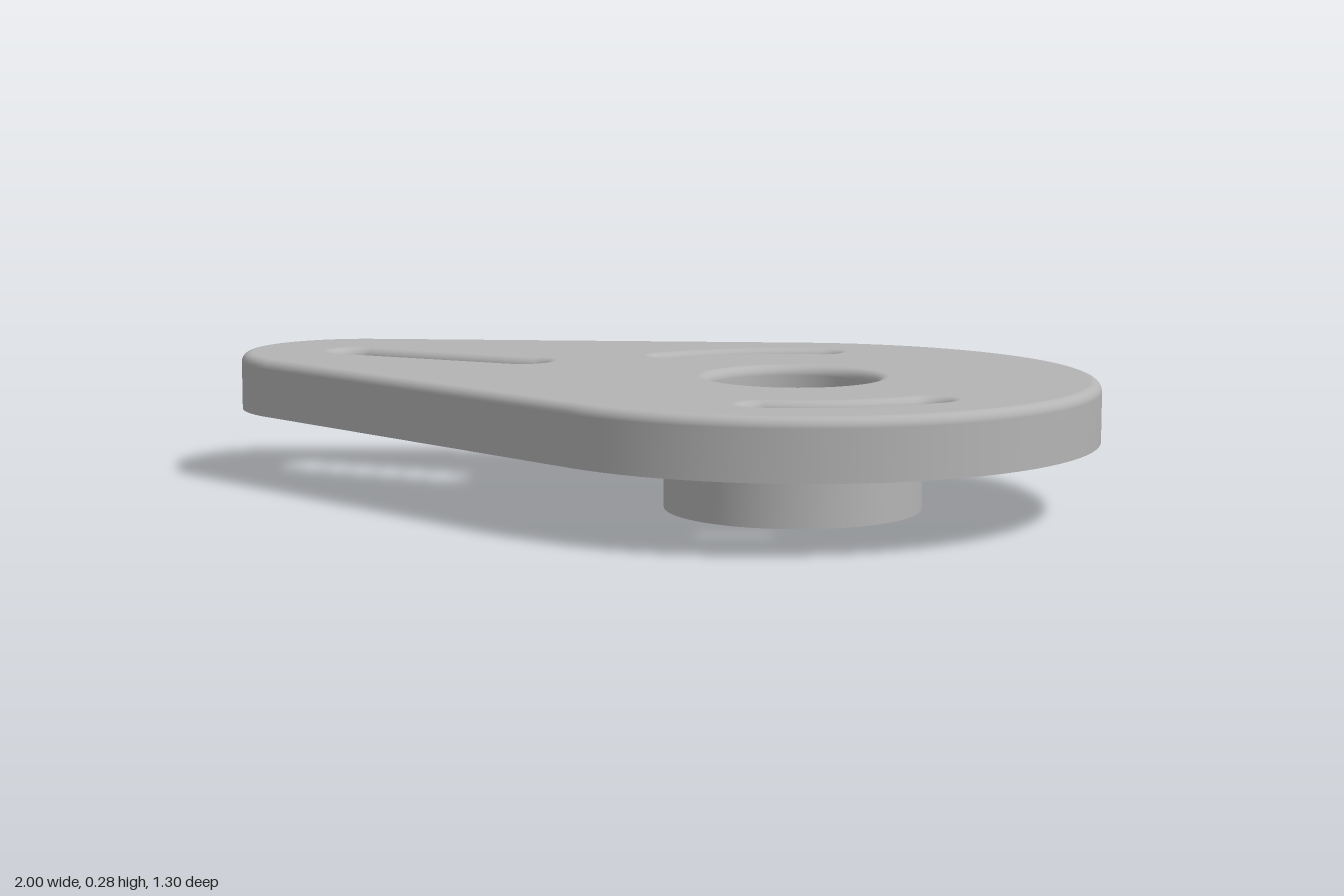
import * as THREE from 'three';

// Main sizes (plan is drawn in x/y, height along z, then the group is tipped upright)
const TOP = 0.284, BASE = 0.155, LEDGE = 0.198, FILLET = 0.022;
const HUB_X = 0.347;

// Arc points, optionally including the last one
function arc(cx, cy, r, a0, a1, n, closed = false) {
  const pts = [];
  for (let i = 0; i < n + (closed ? 1 : 0); i++) {
    const a = a0 + (a1 - a0) * i / n;
    pts.push(new THREE.Vector2(cx + r * Math.cos(a), cy + r * Math.sin(a)));
  }
  return pts;
}

const circle = (cx, r) => arc(cx, 0, r, 0, Math.PI * 2, 72);

// Two circles on the x axis joined by their tangents
function tangentHull(x1, r1, x2, r2, n) {
  const t = Math.acos((r2 - r1) / (x1 - x2));
  return [
    ...arc(x1, 0, r1, -t, t, n, true),
    ...arc(x2, 0, r2, t, Math.PI * 2 - t, n, true),
  ];
}

// Slot bent around the hub
function curvedSlot(R, r, a0, a1) {
  const end = (a) => [HUB_X + R * Math.cos(a), R * Math.sin(a)];
  return [
    ...arc(HUB_X, 0, R + r, a0, a1, 20),
    ...arc(...end(a1), r, a1, a1 + Math.PI, 14),
    ...arc(HUB_X, 0, R - r, a1, a0, 20),
    ...arc(...end(a0), r, a0 + Math.PI, a0 + Math.PI * 2, 14),
  ];
}

// Wall through closed loops of equal length, each given as [points, height]
function wall(levels, inward = false, flat = false) {
  const n = levels[0][0].length, pos = [], idx = [];
  for (const [pts, z] of levels) for (const p of pts) pos.push(p.x, p.y, z);
  for (let j = 0; j < levels.length - 1; j++) {
    for (let i = 0; i < n; i++) {
      const k = (i + 1) % n;
      const a = j * n + i, b = j * n + k, c = b + n, d = a + n;
      if (inward) idx.push(a, c, b, a, d, c);
      else idx.push(a, b, c, a, c, d);
    }
  }
  let g = new THREE.BufferGeometry();
  g.setAttribute('position', new THREE.Float32BufferAttribute(pos, 3));
  g.setIndex(idx);
  if (flat) g = g.toNonIndexed();
  g.computeVertexNormals();
  return g;
}

// Straight wall finished with a quarter-round at the top; outline(offset) gives the loop
function filletedWall(outline, z0, inward) {
  const levels = [[outline(0), z0]], steps = 6;
  for (let i = 0; i <= steps; i++) {
    const a = (i / steps) * Math.PI / 2;
    levels.push([outline(FILLET * (1 - Math.cos(a))), TOP - FILLET + FILLET * Math.sin(a)]);
  }
  return wall(levels, inward);
}

// Flat face with holes
function face(outer, holes, z, up) {
  const shape = new THREE.Shape(outer);
  shape.holes = holes.map((h) => new THREE.Path(h));
  const g = new THREE.ShapeGeometry(shape);
  if (!up) {
    g.setIndex(Array.from(g.index.array).reverse());
    g.computeVertexNormals();
  }
  return g.translate(0, 0, z);
}

export function createModel() {
  const model = new THREE.Group();
  model.name = 'pivotPlate';
  const body = new THREE.Group();
  body.name = 'body';
  body.rotation.x = -Math.PI / 2;
  model.add(body);

  const grey = new THREE.MeshStandardMaterial({ color: 0xb4b4b4 });
  grey.name = 'metalGrey';
  const add = (name, geometry) => {
    const mesh = new THREE.Mesh(geometry, grey);
    mesh.name = name;
    body.add(mesh);
  };

  // Outlines: the rim shrinks and the openings grow with the fillet offset
  const deg = Math.PI / 180;
  const rim = (o) => tangentHull(0.35, 0.65 - o, -0.74, 0.26 - o, 56);
  const bore = (o) => circle(HUB_X, 0.18 + o);
  const straightSlot = (o) => tangentHull(-0.307, 0.053 + o, -0.738, 0.053 + o, 16);
  const backSlot = (o) => curvedSlot(0.457, 0.037 + o, 105 * deg, 150 * deg);
  const frontSlot = (o) => curvedSlot(0.457, 0.037 + o, -75 * deg, -30 * deg);
  const pocket = [[-0.845, -0.078], [-0.2, -0.078], [-0.2, 0.078], [-0.845, 0.078]]
    .map(([x, y]) => new THREE.Vector2(x, y));
  const bossEdge = circle(HUB_X, 0.277);

  // Plate
  add('plateRim', filletedWall(rim, BASE, false));
  add('plateTop', face(rim(FILLET),
    [bore, straightSlot, backSlot, frontSlot].map((f) => f(FILLET)), TOP, true));
  add('plateUnderside', face(rim(0),
    [bossEdge, pocket, backSlot(0), frontSlot(0)], BASE, false));

  // Openings
  add('boreWall', filletedWall(bore, 0, true));
  add('straightSlotWall', filletedWall(straightSlot, LEDGE, true));
  add('backSlotWall', filletedWall(backSlot, BASE, true));
  add('frontSlotWall', filletedWall(frontSlot, BASE, true));

  // Rectangular pocket under the straight slot
  add('pocketWall', wall([[pocket, BASE], [pocket, LEDGE]], true, true));
  add('pocketLedge', face(pocket, [straightSlot(0)], LEDGE, false));

  // Boss below the plate
  add('bossWall', wall([[bossEdge, 0], [bossEdge, BASE]]));
  add('bossEnd', face(bossEdge, [bore(0)], 0, false));

  return model;
}
